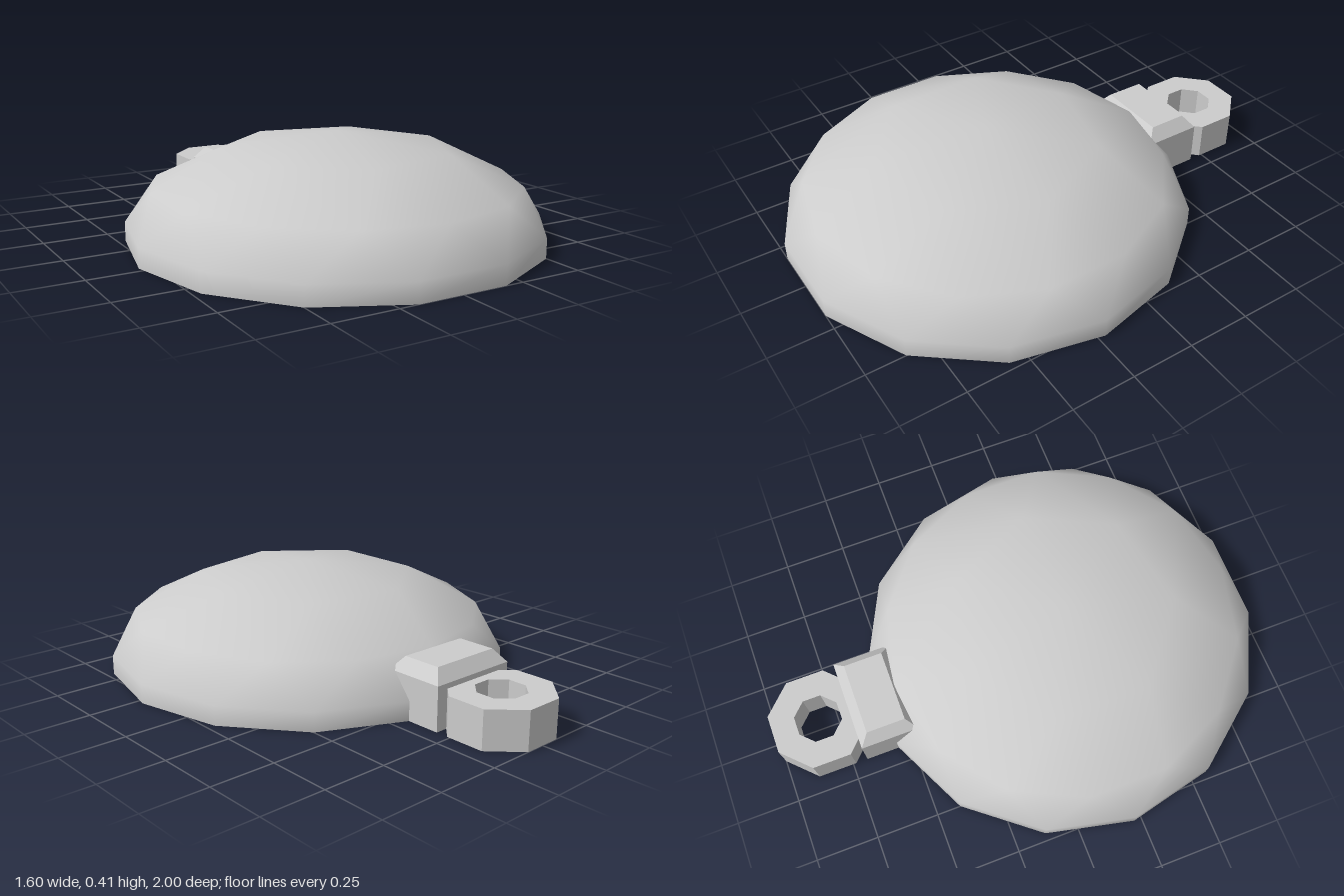
import * as THREE from 'three';

const SIDES = 14;
const STEP = (Math.PI * 2) / SIDES;
const DOME_Z = 0.22;

// Faceted dome: two rim rings, a half-step-rotated middle ring, a seven-sided crown and an apex
function domeGeometry() {
  const pos = [];
  const idx = [];
  const ring = (count, radius, y, offset) => {
    const start = pos.length / 3;
    for (let i = 0; i < count; i++) {
      const a = ((i + offset) * Math.PI * 2) / count;
      pos.push(radius * Math.cos(a), y, radius * Math.sin(a));
    }
    return (i) => start + ((i + count) % count);
  };
  const base = ring(SIDES, 0.8, 0, 0);
  const rim = ring(SIDES, 0.8, 0.075, 0);
  const mid = ring(SIDES, 0.705, 0.22, 0.5);
  const crown = ring(SIDES / 2, 0.44, 0.355, 0);
  const apex = ring(1, 0, 0.415, 0);

  for (let j = 0; j < SIDES; j++) {
    idx.push(base(j), rim(j), base(j + 1), rim(j), rim(j + 1), base(j + 1));
    idx.push(rim(j), mid(j), rim(j + 1), mid(j), mid(j + 1), rim(j + 1));
  }
  for (let i = 0; i < SIDES / 2; i++) {
    idx.push(mid(2 * i - 1), crown(i), mid(2 * i));
    idx.push(mid(2 * i), crown(i), crown(i + 1));
    idx.push(mid(2 * i), crown(i + 1), mid(2 * i + 1));
    idx.push(crown(i), apex(0), crown(i + 1));
  }
  const g = new THREE.BufferGeometry();
  g.setAttribute('position', new THREE.Float32BufferAttribute(pos, 3));
  g.setIndex(idx);
  g.computeVertexNormals();
  return g;
}

// Box standing on y = 0 whose top edges are chamfered
function chamferedBlock(width, height, depth, chamferX, chamferY) {
  const box = new THREE.BoxGeometry(width, height, depth, 1, 2, 1);
  const p = box.attributes.position;
  for (let i = 0; i < p.count; i++) {
    const y = p.getY(i);
    if (y > 0.01) {
      p.setXYZ(i, p.getX(i) - Math.sign(p.getX(i)) * chamferX, height,
        p.getZ(i) - Math.sign(p.getZ(i)) * chamferX);
    } else {
      p.setY(i, y < -0.01 ? 0 : height - chamferY);
    }
  }
  const g = box.toNonIndexed();
  g.computeVertexNormals();
  return g;
}

// Octagon with flat sides on the axes
function octagon(apothem, PathType) {
  const r = apothem / Math.cos(Math.PI / 8);
  const pts = [];
  for (let i = 0; i < 8; i++) {
    const a = ((i + 0.5) * Math.PI) / 4;
    pts.push(new THREE.Vector2(r * Math.cos(a), r * Math.sin(a)));
  }
  return new PathType(pts);
}

export function createModel() {
  const group = new THREE.Group();
  const grey = new THREE.MeshStandardMaterial({ color: 0xcccccc });
  grey.name = 'light grey';

  const add = (name, geometry, z) => {
    const mesh = new THREE.Mesh(geometry, grey);
    mesh.name = name;
    mesh.position.z = z;
    group.add(mesh);
  };

  add('dome', domeGeometry(), DOME_Z);

  // Flat underside, with its corners on the rim
  const under = new THREE.CircleGeometry(0.8, SIDES);
  under.rotateX(Math.PI / 2);
  add('underside', under, DOME_Z);

  // Neck block joining the dome to the ring
  add('neckBlock', chamferedBlock(0.37, 0.22, 0.235, 0.04, 0.05), -0.5725);

  // Octagonal hanging ring
  const ringShape = octagon(0.185, THREE.Shape);
  ringShape.holes.push(octagon(0.088, THREE.Path));
  const ring = new THREE.ExtrudeGeometry(ringShape, { depth: 0.15, bevelEnabled: false });
  ring.rotateX(-Math.PI / 2);
  add('hangingRing', ring, -0.815);

  return group;
}
